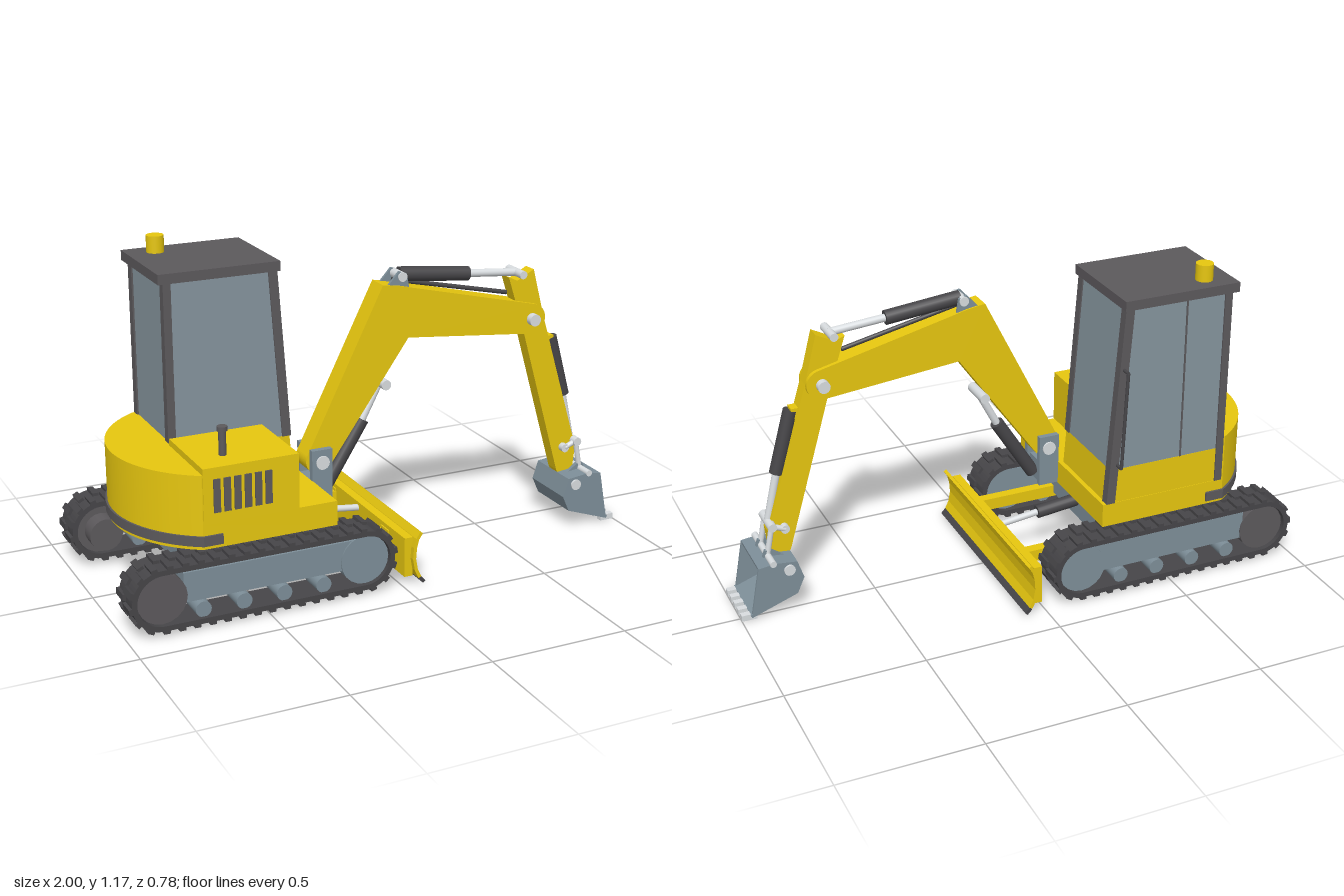
import * as THREE from 'three';

const mat = (name, color) => {
  const m = new THREE.MeshStandardMaterial({ color });
  m.name = name;
  return m;
};

export function createModel() {
  const yellow = mat('yellow paint', 0xe6c60f);
  const charcoal = mat('charcoal trim', 0x5c595c);
  const black = mat('black rubber', 0x464548);
  const steel = mat('steel grey', 0x7d8e98);
  const glass = mat('tinted glass', 0x85949d);
  const chrome = mat('chrome', 0xd8dcdf);

  const model = new THREE.Group();
  model.name = 'excavator';
  const group = name => {
    const g = new THREE.Group();
    g.name = name;
    model.add(g);
    return g;
  };
  const add = (parent, name, geo, m) => {
    const mesh = new THREE.Mesh(geo, m);
    mesh.name = name;
    parent.add(mesh);
    return mesh;
  };
  // Box given by its two extreme corners
  const box = (parent, name, m, [x0, y0, z0], [x1, y1, z1]) =>
    add(parent, name, new THREE.BoxGeometry(x1 - x0, y1 - y0, z1 - z0), m)
      .position.set((x0 + x1) / 2, (y0 + y1) / 2, (z0 + z1) / 2);
  // Side profile (x, y) extruded from z0 to z1
  const plate = (parent, name, m, outline, z0, z1) => {
    const shape = Array.isArray(outline) ? new THREE.Shape(outline.map(p => new THREE.Vector2(...p))) : outline;
    const geo = new THREE.ExtrudeGeometry(shape, { depth: z1 - z0, bevelEnabled: false, curveSegments: 16 });
    add(parent, name, geo.translate(0, 0, z0), m);
  };
  // Cylinder between two points
  const rod = (parent, name, m, a, b, r) => {
    const p = new THREE.Vector3(...a), d = new THREE.Vector3(...b).sub(p);
    const mesh = add(parent, name, new THREE.CylinderGeometry(r, r, d.length(), 20), m);
    mesh.quaternion.setFromUnitVectors(new THREE.Vector3(0, 1, 0), d.clone().normalize());
    mesh.position.copy(p).addScaledVector(d, 0.5);
  };
  const pin = (parent, name, m, x, y, z0, z1, r) => rod(parent, name, m, [x, y, z0], [x, y, z1], r);
  // Closed outline of a bent sheet of thickness t
  const sheet = (pts, t) => {
    const back = pts.map((p, i) => {
      const a = pts[Math.max(i - 1, 0)], b = pts[Math.min(i + 1, pts.length - 1)];
      const dx = b[0] - a[0], dy = b[1] - a[1], l = Math.hypot(dx, dy);
      return [p[0] - (dy / l) * t, p[1] + (dx / l) * t];
    });
    return [...pts, ...back.reverse()];
  };

  // Tracks: belt, lugs, frame, wheels and rollers
  const X0 = -0.877, X1 = -0.145, CY = 0.129, R = 0.108;
  const stadium = (Type, r) => {
    const s = new Type();
    s.absarc(X1, CY, r, -Math.PI / 2, Math.PI / 2, false);
    s.absarc(X0, CY, r, Math.PI / 2, Math.PI * 1.5, false);
    s.closePath();
    return s;
  };
  const beltShape = stadium(THREE.Shape, R);
  beltShape.holes.push(stadium(THREE.Path, 0.09));
  const straight = X1 - X0, arc = Math.PI * R, loop = 2 * (straight + arc), lugs = 80;
  const placeLug = (mesh, s, z) => {
    let x, y, a;
    if (s < straight) { x = X0 + s; y = CY + R; a = 0; }
    else if (s < straight + arc) { a = -(s - straight) / R; x = X1 - Math.sin(a) * R; y = CY + Math.cos(a) * R; }
    else if (s < 2 * straight + arc) { x = X1 - (s - straight - arc); y = CY - R; a = Math.PI; }
    else { a = Math.PI - (s - 2 * straight - arc) / R; x = X0 - Math.sin(a) * R; y = CY + Math.cos(a) * R; }
    mesh.position.set(x, y, z);
    mesh.rotation.z = a;
  };
  for (const side of [1, -1]) {
    const t = group(side > 0 ? 'frontTrack' : 'rearTrack');
    const zc = side * 0.325;
    plate(t, 'trackBelt', black, beltShape, zc - 0.065, zc + 0.065);
    for (let i = 0; i < lugs; i++) {
      const lug = add(t, 'trackLug', new THREE.BoxGeometry(0.022, 0.022, 0.068), black);
      placeLug(lug, (i * loop) / lugs, zc + (i % 2 ? 0.031 : -0.031));
    }
    box(t, 'trackFrame', steel, [-0.8, 0.1, zc - 0.045], [-0.17, 0.205, zc + 0.045]);
    pin(t, 'idlerWheel', steel, X1, CY, zc - 0.05, zc + 0.05, 0.089);
    pin(t, 'driveSprocket', charcoal, X0, CY, zc - 0.05, zc + 0.05, 0.088);
    pin(t, 'driveMotor', charcoal, X0, CY, side * 0.21, side * 0.29, 0.06);
    for (const x of [-0.735, -0.59, -0.445, -0.3]) pin(t, 'roller', steel, x, 0.065, zc - 0.05, zc + 0.05, 0.028);
  }

  // Undercarriage centre and slewing ring
  box(model, 'carBody', steel, [-0.73, 0.12, -0.27], [-0.3, 0.216, 0.27]);
  rod(model, 'slewRing', charcoal, [-0.51, 0.21, 0], [-0.51, 0.262, 0], 0.215);

  // Dozer blade with its arms and cylinder
  const dozer = group('dozer');
  const curve = [[0.083, 0.012], [0.066, 0.03], [0.052, 0.06], [0.045, 0.1], [0.048, 0.14], [0.056, 0.17], [0.07, 0.192]];
  plate(dozer, 'blade', yellow, sheet(curve.slice(1), 0.012), -0.39, 0.39);
  plate(dozer, 'cuttingEdge', black, sheet(curve.slice(0, 2), 0.013), -0.39, 0.39);
  box(dozer, 'bladeStiffener', yellow, [0.01, 0.03, -0.37], [0.042, 0.175, 0.37]);
  for (const s of [1, -1]) {
    box(dozer, 'bladeArm', yellow, [-0.33, 0.105, s * 0.205 - 0.019], [0.02, 0.15, s * 0.205 + 0.019]);
    box(dozer, 'bladeClevis', yellow, [0.005, 0.09, s * 0.22 - 0.03], [0.03, 0.16, s * 0.22 + 0.03]);
  }
  rod(dozer, 'dozerBarrel', black, [-0.33, 0.19, -0.005], [-0.14, 0.17, -0.005], 0.024);
  rod(dozer, 'dozerRod', chrome, [-0.14, 0.17, -0.005], [0.03, 0.15, -0.005], 0.012);

  // Upper body: slabs with a round tail
  const upper = group('upperBody');
  const slab = (name, m, xf, r, hz, y0, y1) => {
    const a = Math.asin(hz / r), s = new THREE.Shape();
    s.moveTo(xf, -hz);
    s.lineTo(xf, hz);
    s.absarc(-0.51, 0, r, Math.PI - a, Math.PI + a, false);
    s.closePath();
    const geo = new THREE.ExtrudeGeometry(s, { depth: y1 - y0, bevelEnabled: false, curveSegments: 32 });
    add(upper, name, geo.rotateX(-Math.PI / 2).translate(0, y0, 0), m);
  };
  slab('deck', yellow, -0.235, 0.403, 0.345, 0.262, 0.35);
  slab('counterweight', yellow, -0.7, 0.403, 0.345, 0.35, 0.522);
  slab('bumperStrip', charcoal, -0.65, 0.41, 0.353, 0.275, 0.31);
  box(upper, 'hoodBase', yellow, [-0.71, 0.35, 0.01], [-0.375, 0.522, 0.345]);
  box(upper, 'hood', yellow, [-0.715, 0.35, 0.03], [-0.375, 0.545, 0.348]);
  for (let i = 0; i < 6; i++)
    box(upper, 'ventSlat', charcoal, [-0.68 + i * 0.0365, 0.388, 0.345], [-0.656 + i * 0.0365, 0.505, 0.353]);
  rod(upper, 'exhaustPipe', charcoal, [-0.607, 0.54, 0.25], [-0.607, 0.64, 0.25], 0.013);
  rod(upper, 'exhaustCap', charcoal, [-0.607, 0.63, 0.25], [-0.607, 0.646, 0.25], 0.018);

  // Cab: base, glass, pillars, roof, hand rail and beacon
  const cab = group('cab');
  const frontX = y => -0.262 - (y - 0.48) * 0.072;
  plate(cab, 'cabBase', yellow, [[-0.705, 0.35], [-0.252, 0.35], [frontX(0.48), 0.48], [-0.705, 0.48]], -0.343, 0.008);
  plate(cab, 'cabGlass', glass, [[-0.705, 0.48], [frontX(0.48), 0.48], [frontX(1.08), 1.08], [-0.705, 1.08]], -0.342, 0.007);
  for (const [z0, z1, low] of [[-0.348, -0.314, 0.35], [-0.02, 0.012, 0.48]]) {
    box(cab, 'rearPillar', charcoal, [-0.711, low, z0], [-0.683, 1.08, z1]);
    plate(cab, 'frontPillar', charcoal, [[frontX(low) - 0.028, low], [frontX(low) + 0.005, low],
      [frontX(1.08) + 0.005, 1.08], [frontX(1.08) - 0.028, 1.08]], z0, z1);
  }
  box(cab, 'doorSeam', charcoal, [-0.54, 0.48, -0.345], [-0.534, 1.08, -0.34]);
  box(cab, 'roof', charcoal, [-0.73, 1.08, -0.36], [-0.292, 1.115, 0.02]);
  rod(cab, 'beacon', yellow, [-0.63, 1.11, -0.286], [-0.63, 1.175, -0.286], 0.031);
  const rail = [[-0.285, 0.5, -0.34], [-0.285, 0.5, -0.378], [-0.3, 0.86, -0.378], [-0.3, 0.86, -0.34]];
  for (let i = 0; i < 3; i++) rod(cab, 'handRail', black, rail[i], rail[i + 1], 0.006);

  // Swing bracket holding the boom foot
  const Z = 0.081;
  const bracket = group('swingBracket');
  for (const z of [0.018, 0.124]) box(bracket, 'bracketCheek', steel, [-0.237, 0.265, z], [-0.16, 0.46, z + 0.022]);
  box(bracket, 'bracketBlock', steel, [-0.237, 0.265, 0.03], [-0.17, 0.35, 0.13]);
  pin(bracket, 'footPin', chrome, -0.197, 0.413, Z - 0.07, Z + 0.07, 0.025);

  // Boom
  const boom = group('boom');
  const bs = new THREE.Shape();
  const rad = THREE.MathUtils.degToRad;
  bs.moveTo(0.045, 1.015);
  bs.lineTo(0.11, 1.005);
  bs.absarc(0.647, 0.82, 0.055, rad(75), rad(-97), true);
  bs.lineTo(0.145, 0.815);
  bs.absarc(-0.2, 0.415, 0.05, rad(-40), rad(-210), true);
  bs.closePath();
  plate(boom, 'boomBeam', yellow, bs, Z - 0.042, Z + 0.042);
  rod(boom, 'boomBarrel', black, [-0.16, 0.295, Z], [-0.015, 0.525, Z], 0.025);
  rod(boom, 'boomRod', chrome, [-0.015, 0.525, Z], [0.053, 0.655, Z], 0.014);
  pin(boom, 'boomRodPin', chrome, 0.053, 0.657, Z - 0.058, Z + 0.058, 0.018);
  pin(boom, 'boomTipPin', chrome, 0.647, 0.82, Z - 0.068, Z + 0.068, 0.022);
  rod(boom, 'hose', black, [0.1, 1.02, Z], [0.56, 0.92, Z], 0.008);
  for (const s of [1, -1])
    plate(boom, 'boomEar', steel, [[0.06, 1.0], [0.15, 0.99], [0.14, 1.045], [0.11, 1.055]], Z + s * 0.031 - 0.005, Z + s * 0.031 + 0.005);
  pin(boom, 'armBarrelPin', chrome, 0.122, 1.035, Z - 0.042, Z + 0.042, 0.017);
  rod(boom, 'armBarrel', black, [0.125, 1.037, Z], [0.4, 1.008, Z], 0.026);
  rod(boom, 'armRod', chrome, [0.4, 1.008, Z], [0.605, 0.99, Z], 0.014);

  // Arm with bucket cylinder and linkage
  const arm = group('arm');
  plate(arm, 'armBeam', yellow, [[0.555, 0.98], [0.59, 0.965], [0.657, 1.0], [0.703, 0.825], [0.865, 0.29], [0.85, 0.16],
    [0.81, 0.155], [0.785, 0.21], [0.62, 0.78]], Z - 0.027, Z + 0.027);
  pin(arm, 'armRodPin', chrome, 0.6, 0.99, Z - 0.053, Z + 0.053, 0.015);
  rod(arm, 'bucketBarrel', black, [0.752, 0.73, Z], [0.815, 0.5, Z], 0.025);
  box(arm, 'barrelLug', yellow, [0.715, 0.7, Z - 0.02], [0.755, 0.74, Z + 0.02]);
  rod(arm, 'bucketRod', chrome, [0.815, 0.5, Z], [0.856, 0.32, Z], 0.014);
  pin(arm, 'linkPin', chrome, 0.856, 0.318, Z - 0.058, Z + 0.058, 0.016);
  pin(arm, 'rockerPin', chrome, 0.808, 0.298, Z - 0.05, Z + 0.05, 0.016);
  for (const s of [1, -1]) {
    const z = Z + s * 0.042;
    rod(arm, 'rockerLink', chrome, [0.808, 0.298, z], [0.856, 0.318, z], 0.01);
    rod(arm, 'bucketLink', chrome, [0.856, 0.318, z], [0.877, 0.208, z], 0.01);
  }

  // Bucket, open towards the front edge
  const bucket = group('bucket');
  const profile = [[0.93, 0.2], [0.87, 0.207], [0.79, 0.198], [0.768, 0.13], [0.795, 0.07], [0.965, 0.01]];
  const bz0 = Z - 0.109, bz1 = Z + 0.109;
  plate(bucket, 'bucketShell', steel, sheet(profile, 0.012), bz0, bz1);
  for (const z of [bz0, bz1 - 0.01]) plate(bucket, 'bucketSide', steel, profile, z, z + 0.01);
  for (const s of [1, -1])
    plate(bucket, 'bucketEar', steel, [[0.79, 0.19], [0.9, 0.19], [0.887, 0.23], [0.865, 0.23], [0.83, 0.205]],
      Z + s * 0.042 - 0.007, Z + s * 0.042 + 0.007);
  pin(bucket, 'linkBar', chrome, 0.877, 0.208, bz0 - 0.005, bz1 + 0.005, 0.012);
  pin(bucket, 'armPin', chrome, 0.82, 0.172, bz0 - 0.008, bz1 + 0.008, 0.02);
  for (let i = -2; i <= 2; i++)
    box(bucket, 'bucketTooth', chrome, [0.945, 0, Z + i * 0.045 - 0.012], [1, 0.022, Z + i * 0.045 + 0.012]);

  return model;
}
